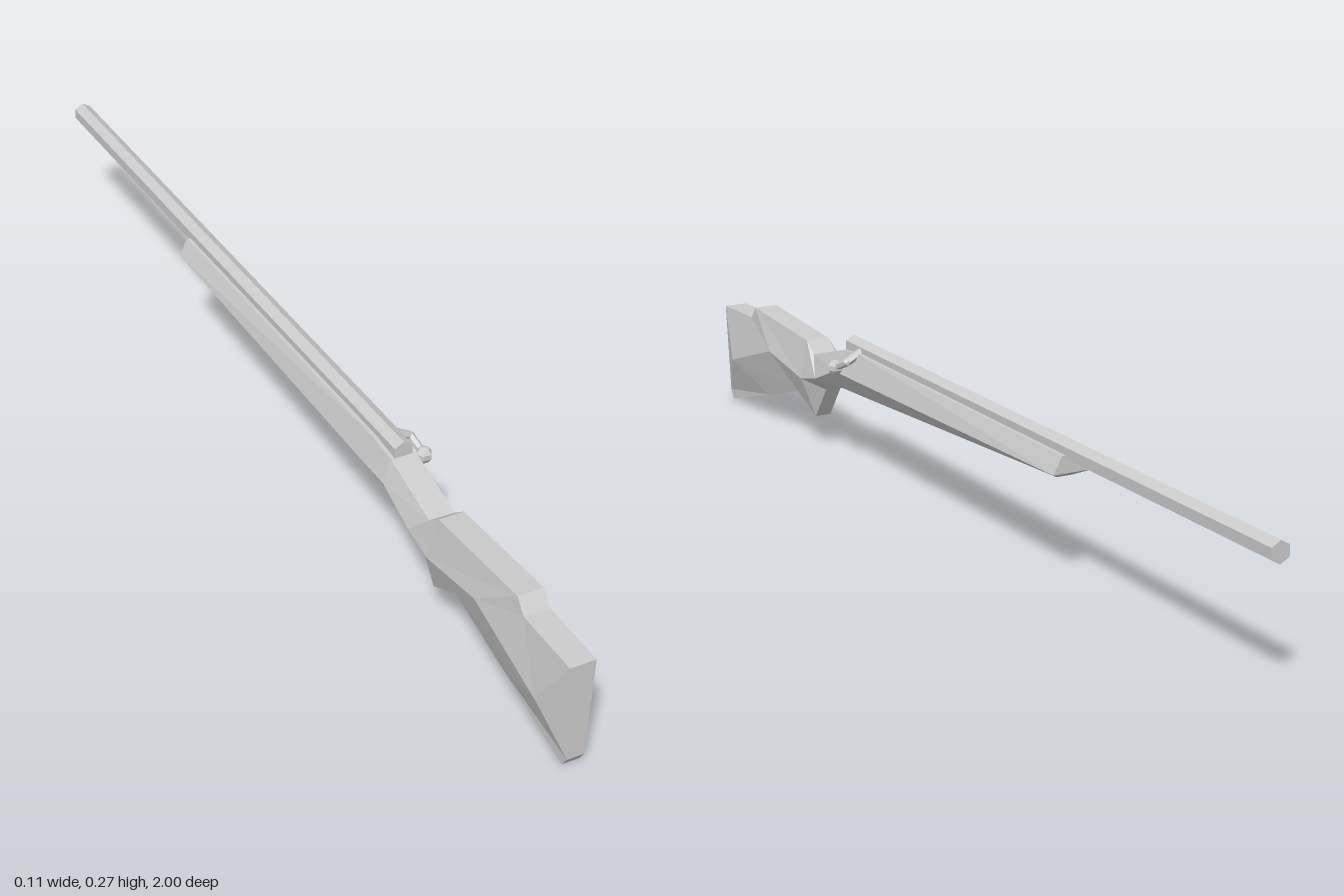
import * as THREE from 'three';

const CX = -0.0135; // centre plane of stock and barrel
const material = new THREE.MeshStandardMaterial({ color: 0xcccccc, flatShading: true });

function addMesh(parent, geometry, name) {
  const mesh = new THREE.Mesh(geometry, material);
  mesh.name = name;
  parent.add(mesh);
  return mesh;
}

// Each station: [z, y, halfWidth] of the top edge, side ridge and bottom edge
function loftStock(stations) {
  const positions = [];
  const rings = stations.map((edges) => {
    const left = edges.map(([z, y, w]) => [CX + w, y, z]);
    const right = edges.map(([z, y, w]) => [CX - w, y, z]).reverse();
    return [...left, ...right];
  });
  const quad = (a, b, c, d) => positions.push(...a, ...b, ...c, ...a, ...c, ...d);
  for (let s = 0; s < rings.length - 1; s++) {
    const a = rings[s], b = rings[s + 1];
    for (let i = 0; i < 6; i++) {
      const j = (i + 1) % 6;
      if (i < 3) quad(a[i], a[j], b[j], b[i]);
      else quad(a[j], b[j], b[i], a[i]); // mirrored diagonal
    }
  }
  const f = rings[0], e = rings[rings.length - 1];
  for (const i of [0, 1]) {
    quad(f[i], f[5 - i], f[4 - i], f[i + 1]);
    quad(e[i], e[i + 1], e[4 - i], e[5 - i]);
  }
  const geometry = new THREE.BufferGeometry();
  geometry.setAttribute('position', new THREE.Float32BufferAttribute(positions, 3));
  geometry.computeVertexNormals();
  return geometry;
}

// Tapered rod between two points
function rod(parent, from, to, r0, r1, name) {
  const a = new THREE.Vector3(...from), b = new THREE.Vector3(...to);
  const dir = b.clone().sub(a);
  const mesh = addMesh(parent, new THREE.CylinderGeometry(r1, r0, dir.length(), 6), name);
  mesh.position.copy(a).add(b).multiplyScalar(0.5);
  mesh.quaternion.setFromUnitVectors(new THREE.Vector3(0, 1, 0), dir.normalize());
}

export function createModel() {
  const model = new THREE.Group();
  model.name = 'rifle';

  // Stock: butt, comb, grip and fore-end
  const T = 0.0245, R = 0.0415, B = 0.0165;
  addMesh(model, loftStock([
    [[1, 0.211, T], [1, 0.02, B], [0.987, 0, B]],
    [[0.863, 0.215, T], [0.933, 0.106, R], [0.8, 0.056, B]],
    [[0.842, 0.241, T], [0.74, 0.17, R], [0.64, 0.104, B]],
    [[0.59, 0.225, T], [0.585, 0.147, R], [0.57, 0.067, B]],
    [[0.56, 0.203, T], [0.52, 0.163, R], [0.52, 0.136, B]],
    [[0.425, 0.243, T], [0.43, 0.2, R], [0.447, 0.158, B]],
    [[0.36, 0.25, T], [0.36, 0.201, R], [0.36, 0.162, B]],
    [[-0.41, 0.248, T], [-0.41, 0.215, R], [-0.38, 0.2, B]],
  ]), 'stock');

  // Hexagonal barrel
  const barrel = addMesh(model, new THREE.CylinderGeometry(0.02, 0.02, 1.425, 6).rotateX(Math.PI / 2), 'barrel');
  barrel.position.set(CX, 0.252, -0.2875);

  // Bent bolt handle with a round knob
  const bolt = new THREE.Group();
  bolt.name = 'boltHandle';
  model.add(bolt);
  const elbow = [0.033, 0.234, 0.365], end = [0.039, 0.216, 0.404];
  rod(bolt, [-0.01, 0.257, 0.365], elbow, 0.009, 0.008, 'boltArm');
  rod(bolt, elbow, end, 0.008, 0.007, 'boltStem');
  addMesh(bolt, new THREE.IcosahedronGeometry(0.009, 0), 'boltElbow').position.set(...elbow);
  addMesh(bolt, new THREE.SphereGeometry(0.016, 6, 5), 'boltKnob').position.set(...end);

  return model;
}
